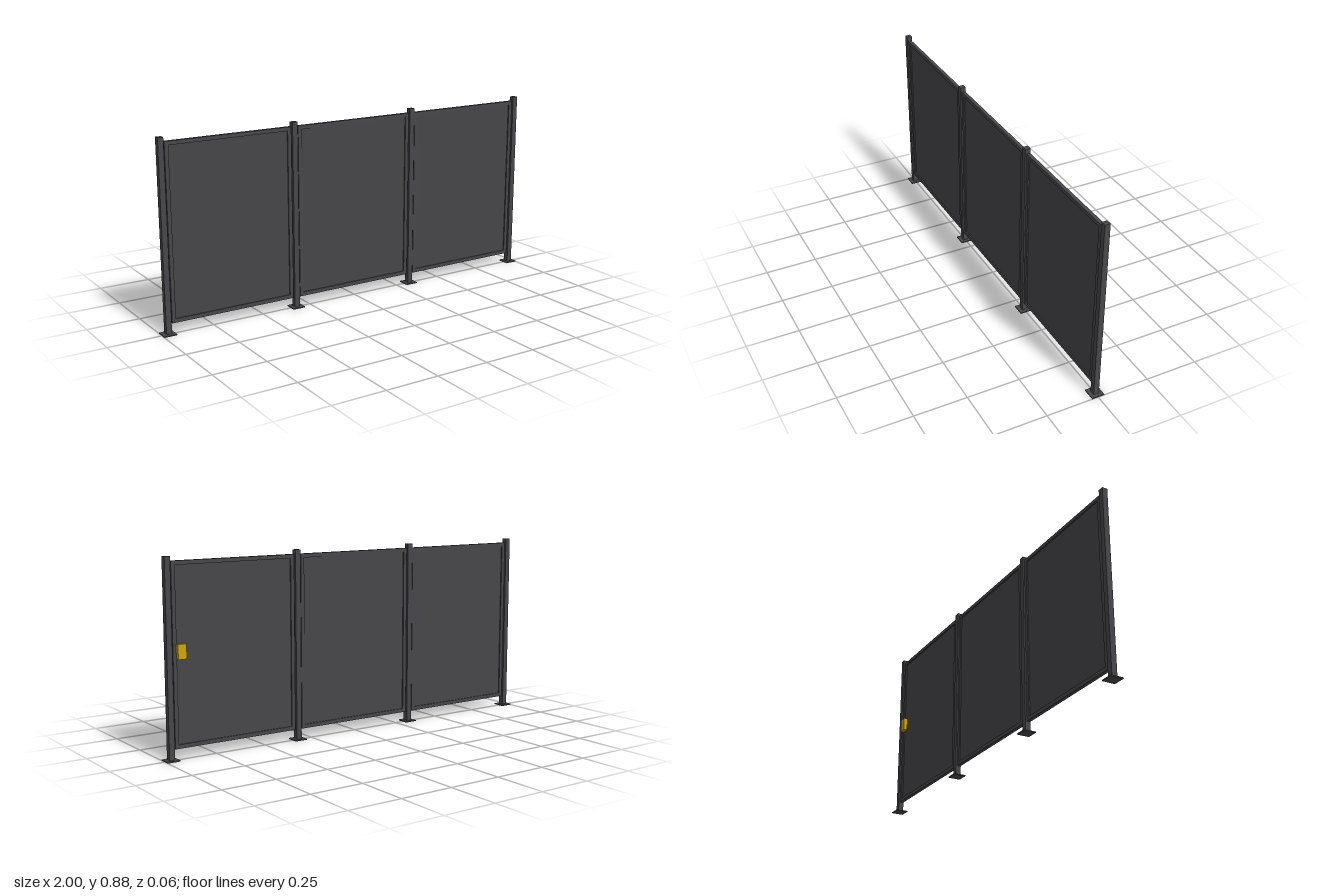
import * as THREE from 'three';

export function createModel() {
  const group = new THREE.Group();
  const steel = new THREE.MeshStandardMaterial({ color: 0x47474b });
  steel.name = 'dark grey steel';
  const sheet = new THREE.MeshStandardMaterial({ color: 0x464549 });
  sheet.name = 'dark grey sheet';
  const yellow = new THREE.MeshStandardMaterial({ color: 0xd0a600 });
  yellow.name = 'safety yellow';

  const box = (name, parent, mat, w, h, d, x, y, z = 0) => {
    const mesh = new THREE.Mesh(new THREE.BoxGeometry(w, h, d), mat);
    mesh.name = name;
    mesh.position.set(x, y, z);
    parent.add(mesh);
  };

  const spacing = 0.6467, firstX = -0.97;
  const postH = 0.88, postW = 0.026, plateH = 0.005;

  // Posts on square foot plates
  for (let i = 0; i < 4; i++) {
    const post = new THREE.Group();
    post.name = 'post' + (i + 1);
    post.position.x = firstX + i * spacing;
    box('footPlate', post, steel, 0.06, plateH, 0.06, 0, plateH / 2);
    box('upright', post, steel, postW, postH - plateH, postW, 0, (postH + plateH) / 2);
    group.add(post);
  }

  // Framed panels, separated from the posts by a narrow gap
  const panelW = spacing - 0.036, bottom = 0.05, top = 0.86;
  const panelH = top - bottom, bar = 0.018, depth = 0.017;
  for (let i = 0; i < 3; i++) {
    const panel = new THREE.Group();
    panel.name = 'panel' + (i + 1);
    panel.position.set(firstX + (i + 0.5) * spacing, (top + bottom) / 2, 0);
    for (const s of [-1, 1]) {
      box('frameRail', panel, steel, panelW, bar, depth, 0, s * (panelH - bar) / 2);
      box('frameStile', panel, steel, bar, panelH - 2 * bar, depth, s * (panelW - bar) / 2, 0);
    }
    box('infillSheet', panel, sheet, panelW - 2 * bar, panelH - 2 * bar, 0.006, 0, 0);
    group.add(panel);
  }

  // Switch box on the back, beside the left end post
  box('switchBox', group, yellow, 0.04, 0.066, 0.019, 0.917, 0.474, -0.0175);

  return group;
}
